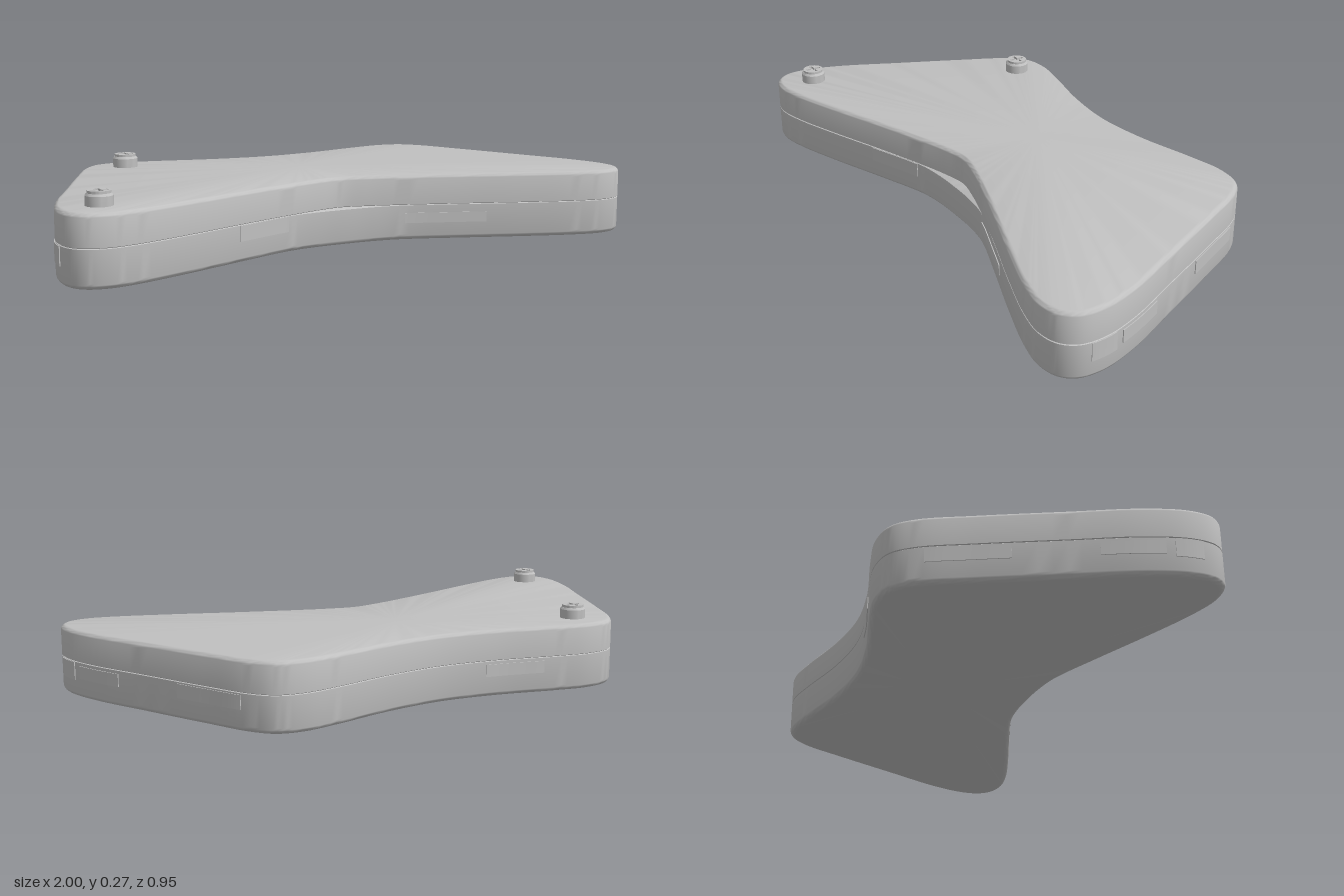
import * as THREE from 'three';
import { toCreasedNormals } from 'three/addons/utils/BufferGeometryUtils.js';

const SEAM = 0.12;
const TOP = 0.222;

// Half outline as [x, z], from the middle of the back to near the middle of the front
const HALF = [
  [0.2, -0.408], [0.4, -0.455], [0.53, -0.477], [0.62, -0.46], [0.68, -0.4],
  [0.76, -0.24], [0.87, 0], [0.96, 0.2], [0.995, 0.33], [0.988, 0.41],
  [0.95, 0.455], [0.88, 0.472], [0.78, 0.455], [0.6, 0.395], [0.4, 0.32], [0.2, 0.25],
];

// Closed smooth outline; the front waist depth differs between the two halves
function outlineCurve(shoulder, waist) {
  const right = [...HALF, [0.09, shoulder]];
  const left = right.map(([x, z]) => [-x, z]).reverse();
  const pts = [[0, -0.387], ...right, [0, waist], ...left];
  return new THREE.CatmullRomCurve3(pts.map(([x, z]) => new THREE.Vector3(x, 0, z)), true);
}

// Point on the outline moved inward by inset
function insetPoint(curve, t, inset) {
  const u = ((t % 1) + 1) % 1;
  const p = curve.getPoint(u);
  const d = curve.getTangent(u);
  return [p.x - d.z * inset, p.z + d.x * inset];
}

// Shell half from stacked loops of [inset, y], capped at both ends
function shellGeometry(curve, rings, n = 216) {
  const pos = [];
  const index = [];
  rings.forEach(([inset, y]) => {
    for (let i = 0; i < n; i++) {
      const [x, z] = insetPoint(curve, i / n, inset);
      pos.push(x, y, z);
    }
  });
  for (let r = 0; r < rings.length - 1; r++) {
    for (let i = 0; i < n; i++) {
      const j = (i + 1) % n;
      const a = r * n + i, b = r * n + j, c = a + n, d = b + n;
      index.push(a, c, b, b, c, d);
    }
  }
  const last = (rings.length - 1) * n;
  const low = pos.length / 3;
  pos.push(0, rings[0][1], -0.1, 0, rings[rings.length - 1][1], -0.1);
  for (let i = 0; i < n; i++) {
    const j = (i + 1) % n;
    index.push(low, i, j, low + 1, last + j, last + i);
  }
  const g = new THREE.BufferGeometry();
  g.setAttribute('position', new THREE.Float32BufferAttribute(pos, 3));
  g.setIndex(index);
  return toCreasedNormals(g, 0.7);
}

// Quarter-round edge as [inset, y] steps, from the wall to the flat face
function roundEdge(r, face, dir) {
  return Array.from({ length: 7 }, (_, i) => {
    const a = (i / 6) * Math.PI / 2;
    return [r * (1 - Math.cos(a)), face - dir * r * (1 - Math.sin(a))];
  });
}

// Thin tab that follows the wall between two outline positions
function tabGeometry(curve, from, to, y0, y1, steps = 16) {
  const pos = [];
  const index = [];
  for (let i = 0; i <= steps; i++) {
    const t = (from + (to - from) * i / steps) / 36;
    const [ix, iz] = insetPoint(curve, t, 0.004);
    const [ox, oz] = insetPoint(curve, t, -0.003);
    pos.push(ix, y0, iz, ox, y0, oz, ox, y1, oz, ix, y1, iz);
    if (i === steps) continue;
    for (let k = 0; k < 4; k++) {
      const a = i * 4 + k, b = i * 4 + (k + 1) % 4;
      index.push(a, b, a + 4, b, b + 4, a + 4);
    }
  }
  const e = steps * 4;
  index.push(0, 2, 1, 0, 3, 2, e, e + 1, e + 2, e, e + 2, e + 3);
  const g = new THREE.BufferGeometry();
  g.setAttribute('position', new THREE.Float32BufferAttribute(pos, 3));
  g.setIndex(index);
  return toCreasedNormals(g, 0.7);
}

// Screw head: chamfered post with a raised cap cut by a cross slot
function makeScrew(material) {
  const screw = new THREE.Group();
  const profile = [[0, -0.01], [0.042, -0.01], [0.042, 0.03], [0.037, 0.037], [0, 0.037]]
    .map(([x, y]) => new THREE.Vector2(x, y));
  const post = new THREE.Mesh(toCreasedNormals(new THREE.LatheGeometry(profile, 32), 0.5), material);
  post.name = 'screwPost';

  const disc = new THREE.Shape().absarc(0, 0, 0.036, 0, Math.PI * 2);
  const w = 0.006, l = 0.027;
  const cross = [[l, -w], [l, w], [w, w], [w, l], [-w, l], [-w, w],
    [-l, w], [-l, -w], [-w, -w], [-w, -l], [w, -l], [w, -w]];
  disc.holes.push(new THREE.Path(cross.map(([x, y]) => new THREE.Vector2(x, y))));
  const capGeo = new THREE.ExtrudeGeometry(disc, { depth: 0.009, bevelEnabled: false, curveSegments: 24 });
  capGeo.rotateX(-Math.PI / 2);
  const cap = new THREE.Mesh(toCreasedNormals(capGeo, 0.5), material);
  cap.name = 'screwCap';
  cap.position.y = 0.036;
  screw.add(post, cap);
  return screw;
}

export function createModel() {
  const model = new THREE.Group();
  model.name = 'case';
  const grey = new THREE.MeshStandardMaterial({ color: 0xc0c0c0 });
  grey.name = 'light grey';

  const add = (name, geometry) => {
    const mesh = new THREE.Mesh(geometry, grey);
    mesh.name = name;
    model.add(mesh);
  };

  // Lower and upper halves, with a fine groove where they meet
  const lowerCurve = outlineCurve(0.235, 0.233);
  const upperCurve = outlineCurve(0.217, 0.2);
  add('lowerHalf', shellGeometry(lowerCurve, [
    ...roundEdge(0.02, 0, -1).reverse(), [0, SEAM - 0.002], [0.003, SEAM],
  ]));
  add('upperHalf', shellGeometry(upperCurve, [
    [0.003, SEAM], [0, SEAM + 0.002], ...roundEdge(0.018, TOP, 1),
  ]));

  // Shallow tabs along the seam: [from, to, bottom, top] in outline steps
  const tabs = [
    [5.2, 6.4, 0.068, 0.113],
    [7.4, 8.4, 0.066, 0.108],
    [8.6, 9.5, 0.058, 0.117],
    [14.6, 15.9, 0.058, 0.092],
    [20.1, 21.1, 0.068, 0.117],
    [26.6, 27.4, 0.058, 0.117],
    [27.6, 28.6, 0.066, 0.108],
    [29.6, 30.8, 0.068, 0.113],
    [34.2, 35.2, 0.068, 0.108],
  ];
  tabs.forEach(([a, b, y0, y1]) => add('seamTab', tabGeometry(lowerCurve, a, b, y0, y1)));

  // Two screws on the right wing
  [[-0.87, 0.345], [-0.545, -0.36]].forEach(([x, z]) => {
    const screw = makeScrew(grey);
    screw.name = 'screw';
    screw.position.set(x, TOP, z);
    model.add(screw);
  });
  return model;
}
